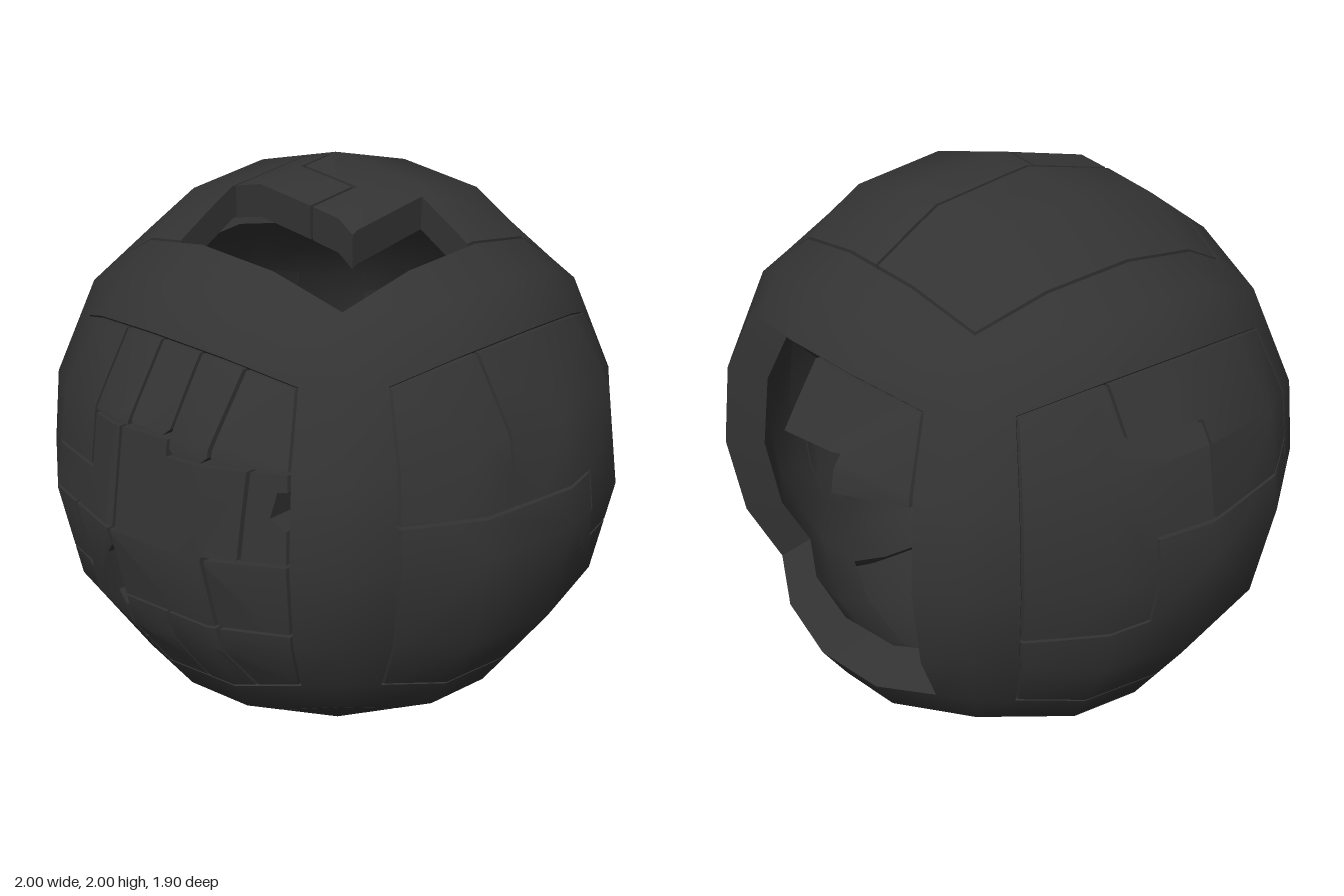
import * as THREE from 'three';
import { mergeGeometries, toCreasedNormals } from 'three/addons/utils/BufferGeometryUtils.js';

// Each cube face is a 4 x 4 grid pushed out to a unit sphere; local u, v lie in the face, w points out.
const STEP = 0.372, RIM = 0.768, GAP = 0.005, CREASE = 0.6;
const BASE = [-1, -STEP, 0, STEP, 1];
const V3 = (x, y, z) => new THREE.Vector3(x, y, z);
const V2 = (x, y) => new THREE.Vector2(x, y);

// Point on the faceted sphere for grid parameters a, b in -1..1
function shell(a, b) {
  const cell = (t) => {
    const i = t < -STEP ? 0 : t < 0 ? 1 : t < STEP ? 2 : 3;
    return [BASE[i], BASE[i + 1], (t - BASE[i]) / (BASE[i + 1] - BASE[i])];
  };
  const [a0, a1, s] = cell(a), [b0, b1, t] = cell(b);
  const n = (x, y) => V3(x, y, 1).normalize();
  return n(a0, b0).lerp(n(a1, b0), s).lerp(n(a0, b1).lerp(n(a1, b1), s), t);
}

function toGeometry(triangles) {
  const g = new THREE.BufferGeometry().setFromPoints(triangles);
  g.computeVertexNormals();
  return g;
}

const addQuad = (out, a, b, c, d) => out.push(a, b, c, a, c, d);

// One face's share of the frame: a thick ring around the rounded opening
function frameFace() {
  const T = [-1, -RIM, -STEP, 0, STEP, RIM, 1], out = [];
  const snap = (t) => (Math.abs(t) >= RIM ? Math.sign(t) : t);
  const inner = (a, b) => shell(a, b).addScaledVector(V3(snap(a), snap(b), 1).normalize(), -0.14);
  for (let i = 0; i < 6; i++) for (let j = 0; j < 6; j++) {
    if (i > 0 && i < 5 && j > 0 && j < 5) continue;
    const c = [[T[i], T[j]], [T[i + 1], T[j]], [T[i + 1], T[j + 1]], [T[i], T[j + 1]]];
    addQuad(out, ...c.map((p) => shell(...p)));
    addQuad(out, ...c.map((p) => inner(...p)).reverse());
  }
  // Walls of the opening
  for (let i = 1; i < 5; i++) {
    const p = T[i], q = T[i + 1];
    const edges = [[[p, -RIM], [q, -RIM]], [[RIM, p], [RIM, q]], [[q, RIM], [p, RIM]], [[-RIM, q], [-RIM, p]]];
    for (const [e, f] of edges) addQuad(out, shell(...e), shell(...f), inner(...f), inner(...e));
  }
  return toGeometry(out);
}

// Triangular facets inside the opening that the panels follow
const facets = [];
const L = [-RIM + 0.015, -STEP, 0, STEP, RIM - 0.015];
for (let i = 0; i < 4; i++) for (let j = 0; j < 4; j++) {
  const c = [shell(L[i], L[j]), shell(L[i + 1], L[j]), shell(L[i + 1], L[j + 1]), shell(L[i], L[j + 1])];
  const k = (i < 2) === (j < 2) ? 0 : 1;
  facets.push([c[k], c[k + 1], c[k + 2]], [c[k], c[k + 2], c[(k + 3) % 4]]);
}
const opening = [];
for (const [ax, ay, bx, by] of [[-1, -1, 1, -1], [1, -1, 1, 1], [1, 1, -1, 1], [-1, 1, -1, -1]])
  for (let i = 0; i < 4; i++) {
    const m = L[i] / L[4];
    const p = ax === bx ? [ax * L[4], by * m * L[4]] : [bx * m * L[4], ay * L[4]];
    opening.push(shell(...p));
  }

const side = (a, b, p) => (b.x - a.x) * (p.y - a.y) - (b.y - a.y) * (p.x - a.x);

// Cut a polygon to a convex counterclockwise one
function clip(poly, convex) {
  convex.forEach((a, i) => {
    const b = convex[(i + 1) % convex.length], next = [];
    poly.forEach((p, k) => {
      const q = poly[(k + 1) % poly.length], sp = side(a, b, p), sq = side(a, b, q);
      if (sp >= 0) next.push(p);
      if ((sp > 0 && sq < 0) || (sp < 0 && sq > 0)) next.push(p.clone().lerp(q, sp / (sp - sq)));
    });
    poly = next;
  });
  return poly.filter((p, i) => p.distanceTo(poly[(i + 1) % poly.length]) > 1e-6);
}

function inside(poly, p) {
  let hit = false;
  poly.forEach((a, i) => {
    const b = poly[(i + 1) % poly.length];
    if (a.y > p.y !== b.y > p.y && p.x < a.x + ((b.x - a.x) * (p.y - a.y)) / (b.y - a.y)) hit = !hit;
  });
  return hit;
}

// Move every edge inward to leave a seam
function inset(poly, d) {
  return poly.map((p, i) => {
    const e = p.clone().sub(poly[(i + poly.length - 1) % poly.length]).normalize();
    const f = poly[(i + 1) % poly.length].clone().sub(p).normalize();
    const m = V2(-e.y - f.y, e.x + f.x);
    return p.clone().addScaledVector(m, d / (1 + e.dot(f)));
  });
}

// Curved plate with straight-cut sides, from an outline in face coordinates
function panel(points, depth = 0.1) {
  let outline = points.map((p) => V2(...p));
  if (THREE.ShapeUtils.area(outline) < 0) outline.reverse();
  outline = inset(outline, GAP);
  const filled = (p) => inside(outline, p) && inside(opening, p);
  const out = [];
  for (const f of facets) {
    const piece = clip(outline, f);
    if (piece.length < 3 || THREE.ShapeUtils.area(piece) < 1e-6) continue;
    const { normal: n, constant } = new THREE.Plane().setFromCoplanarPoints(...f);
    const at = (p, drop) => V3(p.x, p.y, -(constant + n.x * p.x + n.y * p.y) / n.z - drop);
    for (const t of THREE.ShapeUtils.triangulateShape(piece, [])) {
      const [a, b, c] = t.map((i) => piece[i]);
      out.push(at(a, 0), at(b, 0), at(c, 0), at(a, depth), at(c, depth), at(b, depth));
    }
    piece.forEach((p, i) => {
      const q = piece[(i + 1) % piece.length], mid = p.clone().lerp(q, 0.5);
      const away = V2(q.y - p.y, p.x - q.x).normalize().multiplyScalar(5e-4);
      if (filled(mid.clone().add(away)) || !filled(mid.clone().sub(away))) return;
      addQuad(out, at(p, 0), at(p, depth), at(q, depth), at(q, 0));
    });
  }
  return toCreasedNormals(toGeometry(out), CREASE);
}

const rect = (x0, y0, x1, y1) => [[x0, y0], [x1, y0], [x1, y1], [x0, y1]];
const key = (x0, y0, x1, y1, c = 0.02) => [[x0 + c, y0], [x1 - c, y0], [x1, y0 + c], [x1, y1], [x0, y1], [x0, y0 + c]];

// Panel outlines per face; 0.7 reaches past the opening
const E = 0.7;
const FACES = {
  front: { turn: [0, 0], panels: [
    [[-E, E], [-0.115, E], [-0.115, 0.16], [-0.38, 0.16], [-0.38, 0.01], [-E, 0.01]],
    [[-0.38, 0.01], [0.03, 0.01], [0.03, 0.33], [-0.115, 0.33], [-0.115, 0.16], [-0.38, 0.16]],
    rect(-0.115, 0.33, 0.06, E), key(0.06, 0.33, 0.21, E), key(0.21, 0.28, 0.35, E), rect(0.35, 0.28, E, E),
    [[0.03, 0.33], [0.21, 0.33], [0.21, 0.28], [0.45, 0.28], [0.45, 0.01], [0.36, 0.01],
      [0.36, -0.24], [0.01, -0.24], [0.01, 0.01], [0.03, 0.01]],
    [[0.45, 0.01], [E, 0.01], [E, 0.1], [0.55, 0.12], [0.52, 0.15], [0.53, 0.22], [E, 0.24], [E, 0.28], [0.45, 0.28]],
    rect(0.36, -0.24, E, 0.01), rect(0.36, -E, E, -0.24), rect(0.18, -E, 0.36, -0.24), rect(0.01, -E, 0.18, -0.24),
    [[-0.21, -0.43], [0.01, -0.43], [0.01, -0.28], [-0.025, -0.24], [-0.025, -0.1], [0.01, -0.06], [0.01, 0.01], [-0.21, 0.01]],
    [[-E, 0.01], [-0.21, 0.01], [-0.21, -0.22], [-0.4, -0.22], [-0.4, -E], [-E, -E]],
    [[-0.38, -0.22], [-0.23, -0.22], [-0.21, -0.24], [-0.21, -0.43], [0.01, -0.43], [0.01, -E], [-0.4, -E], [-0.4, -0.24]],
  ] },
  left: { turn: [0, 1], panels: [
    rect(-E, 0.12, -0.23, E),
    [[-0.23, E], [E, E], [E, -E], [0.38, -E], [0.38, -0.14], [0.14, -0.14], [0.14, 0.12], [-0.23, 0.12]],
    [[-E, 0.12], [0.14, 0.12], [0.14, -0.14], [0.38, -0.14], [0.38, -E], [-E, -E]],
  ] },
  back: { turn: [0, 2], panels: [
    [[0.12, E], [E, E], [E, 0.25], [0.34, 0.25], [0.34, 0.36], [0.12, 0.36]],
  ] },
  right: { turn: [0, -1], panels: [
    [[-E, E], [-0.25, E], [-0.25, 0.41], [0, 0.41], [0, 0.12], [-0.2, 0.12], [-0.2, -0.17], [-E, -0.17]],
    [[-0.25, E], [E, E], [E, 0.12], [0, 0.12], [0, 0.41], [-0.25, 0.41]],
    [[-E, -0.17], [-0.2, -0.17], [-0.2, 0.12], [E, 0.12], [E, -E], [-E, -E]],
  ] },
  top: { turn: [-1, 0], panels: [
    rect(-E, -E, -0.12, E),
    [[-0.12, E], [E, E], [E, -0.03], [0.39, -0.03], [0.39, -0.34], [0.22, -0.34],
      [0.22, -0.15], [0, -0.15], [0, -0.03], [-0.12, -0.03]],
    [[-0.12, -0.03], [0, -0.03], [0, -0.15], [0.22, -0.15], [0.22, -0.34], [-0.12, -0.34]],
  ] },
  bottom: { turn: [1, 0], panels: [rect(-E, -E, E, E)] },
};

export function createModel() {
  const model = new THREE.Group();
  model.name = 'panelledSphere';
  const material = new THREE.MeshStandardMaterial({ color: 0x333333 });
  const ring = frameFace(), rings = [];

  for (const [name, { turn, panels }] of Object.entries(FACES)) {
    const face = new THREE.Group();
    face.name = `${name}Panels`;
    face.rotation.set((turn[0] * Math.PI) / 2, (turn[1] * Math.PI) / 2, 0);
    face.position.set(0, 1, -0.05);
    face.updateMatrix();
    panels.forEach((outline, i) => {
      const mesh = new THREE.Mesh(panel(outline), material);
      mesh.name = `${name}Panel${i + 1}`;
      face.add(mesh);
    });
    model.add(face);
    rings.push(ring.clone().applyMatrix4(face.matrix));
  }

  // Frame of twelve beams, joined so the shading runs across the cube edges
  const frame = new THREE.Mesh(toCreasedNormals(mergeGeometries(rings), CREASE), material);
  frame.name = 'frame';
  model.add(frame);
  return model;
}
